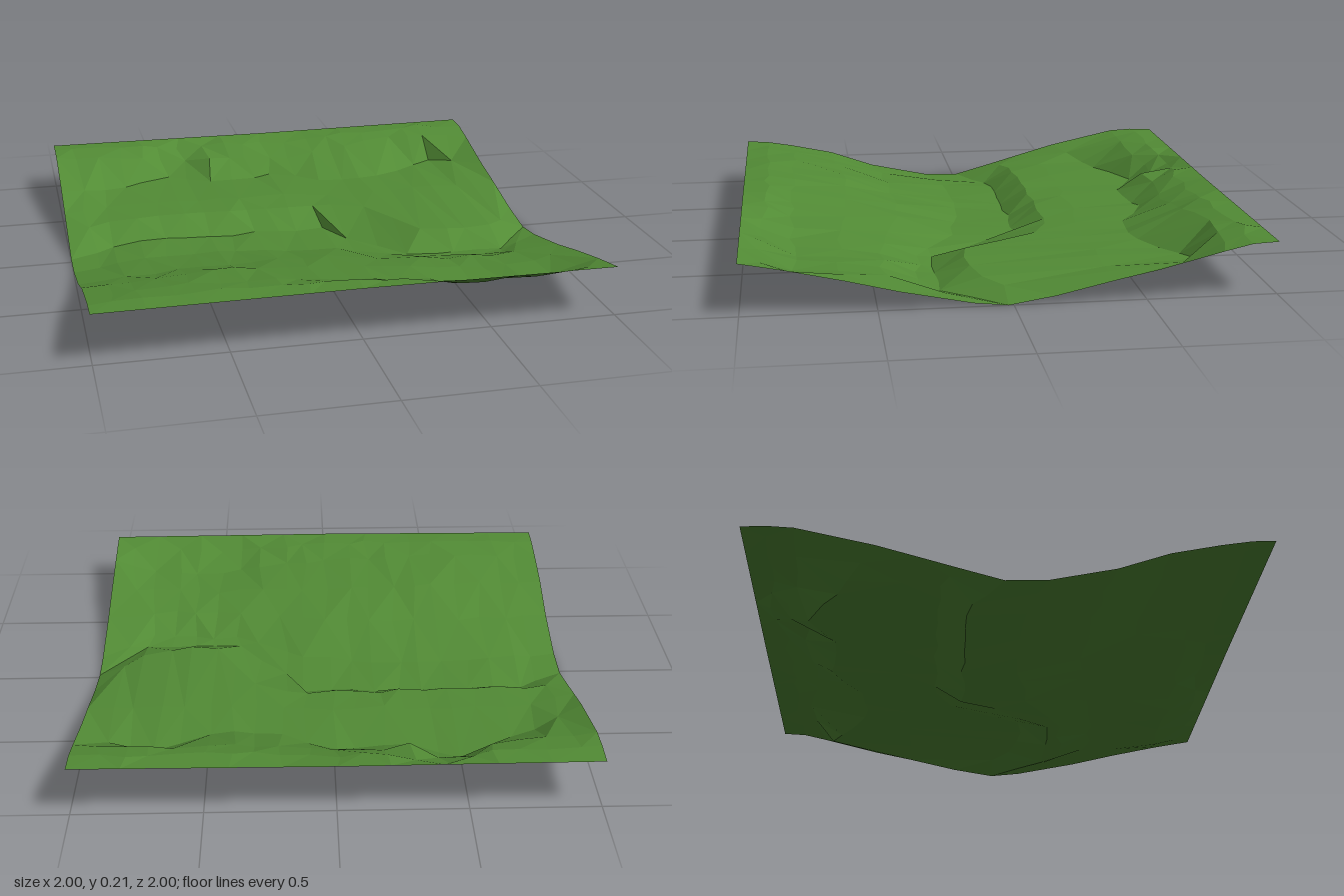
import * as THREE from 'three';

// Break lines of the valley from back to front, each a few [x, z, y] points
const lines = {
  backEdge: [[-1, -1, 0.21], [0, -1, 0.205], [1, -1, 0.21]],
  backRim: [[-1, -0.9, 0.215], [-0.6, -0.91, 0.205], [-0.42, -0.94, 0.175], [-0.2, -0.9, 0.195], [0.05, -0.9, 0.18],
    [0.45, -0.9, 0.21], [0.8, -0.92, 0.215], [1, -0.9, 0.205]],
  backTop: [[-1, -0.8, 0.21], [-0.6, -0.82, 0.18], [-0.45, -0.88, 0.135], [-0.3, -0.8, 0.16], [0.05, -0.8, 0.14],
    [0.2, -0.78, 0.155], [0.4, -0.79, 0.175], [0.65, -0.84, 0.195], [0.88, -0.82, 0.195], [1, -0.79, 0.18]],
  backFoot: [[-1, -0.5, 0.145], [-0.8, -0.6, 0.105], [-0.47, -0.78, 0.09], [-0.35, -0.68, 0.085], [-0.15, -0.68, 0.085],
    [0.05, -0.72, 0.09], [0.2, -0.58, 0.085], [0.48, -0.56, 0.085], [0.78, -0.75, 0.088], [0.9, -0.68, 0.11], [1, -0.55, 0.12]],
  terrace: [[-1, -0.34, 0.1], [-0.7, -0.42, 0.09], [0.2, -0.4, 0.085], [0.75, -0.36, 0.085], [1, -0.38, 0.085]],
  terraceEdge: [[-1, -0.2, 0.06], [-0.75, -0.26, 0.085], [0.2, -0.26, 0.08], [0.3, -0.2, 0.08], [0.5, 0.13, 0.075],
    [0.75, 0.13, 0.068], [0.88, 0.05, 0.055], [1, -0.16, 0.035]],
  channelBack: [[-1, -0.02, 0.01], [-0.89, -0.08, 0.004], [-0.7, -0.16, 0.02], [-0.3, -0.16, 0.012], [0.1, -0.15, 0.01],
    [0.2, 0, 0.01], [0.4, 0.23, 0.018], [0.58, 0.26, 0.01], [0.82, 0.26, 0.012], [1, 0.02, 0.006]],
  channelFront: [[-1, 0.14, 0.015], [-0.65, 0.06, 0.03], [-0.2, 0.08, 0.018], [0.1, 0.13, 0.02], [0.4, 0.3, 0.025],
    [0.58, 0.32, 0.02], [0.82, 0.32, 0.025], [1, 0.15, 0.02]],
  frontBank: [[-1, 0.4, 0.07], [-0.5, 0.34, 0.085], [0, 0.36, 0.082], [0.5, 0.46, 0.075], [0.8, 0.46, 0.075], [1, 0.42, 0.075]],
  frontSlope: [[-1, 0.6, 0.14], [-0.5, 0.56, 0.15], [-0.1, 0.57, 0.135], [0.3, 0.6, 0.11], [0.6, 0.63, 0.088], [1, 0.62, 0.125]],
  shoulder: [[-1, 0.79, 0.18], [-0.6, 0.78, 0.195], [-0.1, 0.79, 0.175], [0.2, 0.8, 0.145], [0.5, 0.8, 0.105], [0.8, 0.8, 0.112], [1, 0.82, 0.17]],
  frontLip: [[-1, 0.91, 0.2], [-0.5, 0.9, 0.215], [0, 0.9, 0.205], [0.5, 0.92, 0.16], [0.8, 0.92, 0.168], [1, 0.92, 0.19]],
  frontEdge: [[-1, 1, 0.205], [0, 1, 0.21], [1, 1, 0.205]],
};

// Point on a break line at a given x
function pointAt(line, x) {
  let i = 1;
  while (i < line.length - 1 && line[i][0] < x) i++;
  const [a, b] = [line[i - 1], line[i]];
  const t = (x - a[0]) / (b[0] - a[0]);
  return new THREE.Vector3(x, a[2] + (b[2] - a[2]) * t, a[1] + (b[1] - a[1]) * t);
}

function seeded(seed) {
  return () => {
    seed = (seed * 16807) % 2147483647;
    return seed / 2147483647 - 0.5;
  };
}

export function createModel() {
  const grass = new THREE.MeshStandardMaterial({ color: 0x528b35 });
  grass.name = 'grass green';
  grass.flatShading = true;
  grass.side = THREE.DoubleSide;

  const rows = Object.values(lines);
  const columns = 20;
  const random = seeded(17);
  const positions = [];
  const indices = [];

  // Loft the sheet across the break lines, with slight roughness inside
  rows.forEach((line, r) => {
    for (let c = 0; c <= columns; c++) {
      const p = pointAt(line, -1 + (2 * c) / columns);
      const inside = r > 0 && r < rows.length - 1 && c > 0 && c < columns;
      if (inside) {
        p.x += random() * 0.04;
        p.z += random() * 0.03;
        p.y = THREE.MathUtils.clamp(p.y + random() * 0.01, 0, 0.22);
      }
      positions.push(p.x, p.y, p.z);
      if (r === rows.length - 1 || c === columns) continue;
      const a = r * (columns + 1) + c;
      const d = a + columns + 1;
      // Alternate the diagonals for irregular facets
      if ((r + c) % 2) indices.push(a, d, a + 1, a + 1, d, d + 1);
      else indices.push(a, d, d + 1, a, d + 1, a + 1);
    }
  });

  const sheet = new THREE.BufferGeometry();
  sheet.setAttribute('position', new THREE.Float32BufferAttribute(positions, 3));
  sheet.setIndex(indices);
  const geometry = sheet.toNonIndexed();
  geometry.computeVertexNormals();

  const terrain = new THREE.Mesh(geometry, grass);
  terrain.name = 'valleyTerrain';
  const model = new THREE.Group();
  model.name = 'riverValley';
  model.add(terrain);
  return model;
}
